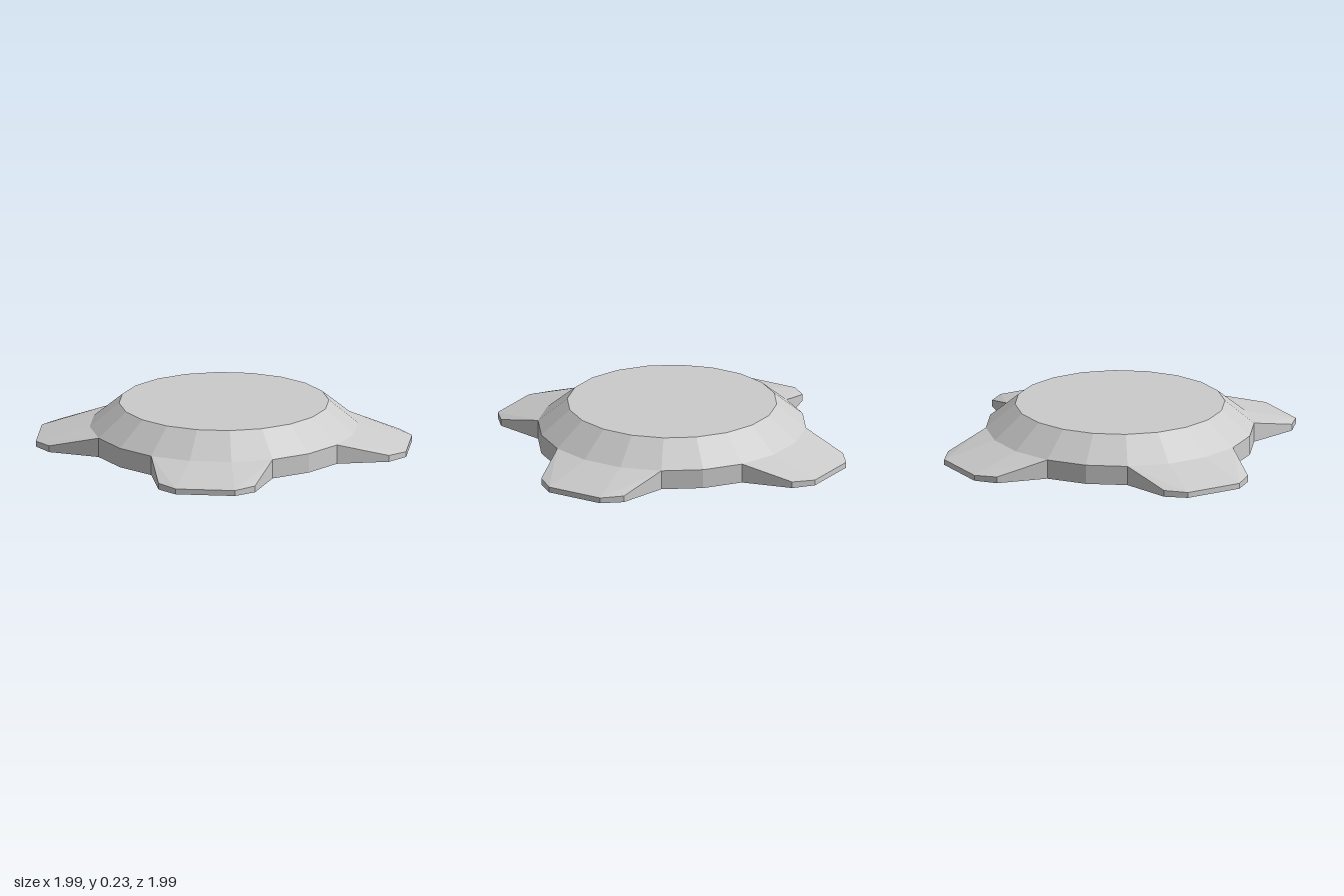
import * as THREE from 'three';

const SIDES = 20, TOP_R = 0.563, RIM_R = 0.72, TOP_Y = 0.235, RIM_Y = 0.105;
const rad = THREE.MathUtils.degToRad;

// Flat-shaded geometry from quads and triangles given as corner loops
function facets(loops) {
  const pos = [];
  for (const loop of loops) {
    for (let i = 1; i < loop.length - 1; i++) {
      pos.push(...loop[0], ...loop[i], ...loop[i + 1]);
    }
  }
  const geo = new THREE.BufferGeometry();
  geo.setAttribute('position', new THREE.Float32BufferAttribute(pos, 3));
  geo.computeVertexNormals();
  return geo;
}

const rim = (deg) => [RIM_R * Math.sin(rad(deg)), RIM_Y, RIM_R * Math.cos(rad(deg))];
const floor = ([x, , z]) => [x, 0, z];

export function createModel() {
  const group = new THREE.Group();
  const material = new THREE.MeshStandardMaterial({ color: 0xcccccc, flatShading: true });
  const add = (name, geo, turn = 0) => {
    const mesh = new THREE.Mesh(geo, material);
    mesh.name = name;
    mesh.rotation.y = turn;
    group.add(mesh);
  };

  // Sloped crown with its flat round top
  const profile = [[RIM_R, RIM_Y], [TOP_R, TOP_Y], [0, TOP_Y]].map((p) => new THREE.Vector2(...p));
  add('crown', new THREE.LatheGeometry(profile, SIDES, Math.PI / SIDES));

  // One quarter: a tapering foot plus the rim wall up to the next foot
  const [a, b, c, d] = [-27, -9, 9, 27].map(rim);
  const p = [-0.26, 0.035, 0.915], q = [-0.16, 0.03, 0.997];
  const r = [0.16, 0.03, 0.997], s = [0.26, 0.035, 0.915];
  const footTop = facets([[a, p, q, b], [q, r, c, b], [r, s, d, c]]);

  const outline = [a, p, q, r, s, d, rim(45), rim(63)];
  const walls = [], base = [];
  for (let i = 0; i < outline.length - 1; i++) {
    const u = outline[i], v = outline[i + 1];
    walls.push([floor(u), floor(v), v, u]);
    base.push([[0, 0, 0], floor(v), floor(u)]);
  }
  const wallGeo = facets(walls), baseGeo = facets(base);

  // Repeat the quarter around the centre
  ['front', 'left', 'back', 'right'].forEach((side, i) => {
    const turn = i * Math.PI / 2;
    add(side + 'Foot', footTop, turn);
    add(side + 'Wall', wallGeo, turn);
    add(side + 'Underside', baseGeo, turn);
  });

  return group;
}
